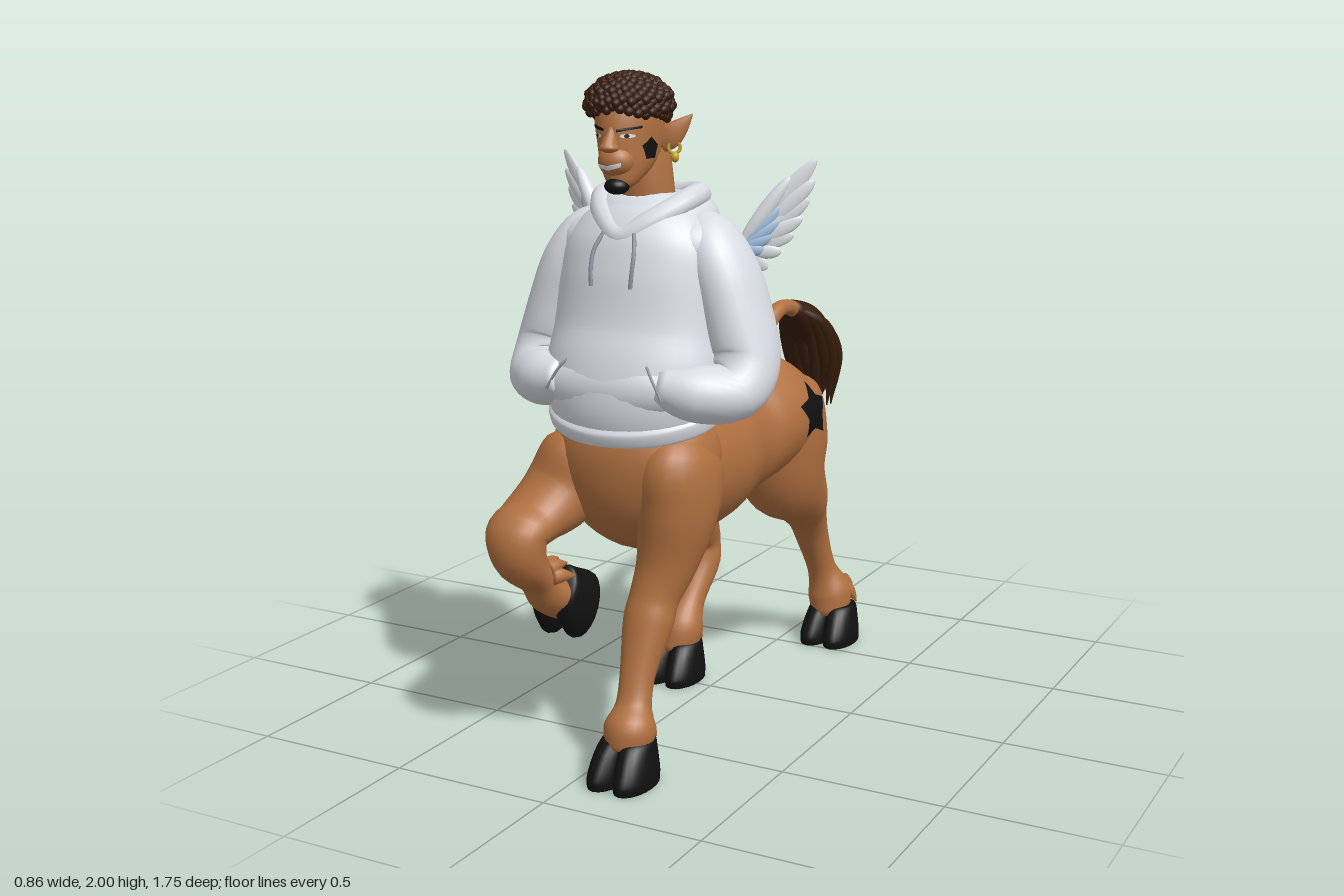
import * as THREE from 'three';

const mat = (name, color, side = THREE.FrontSide) => {
  const m = new THREE.MeshStandardMaterial({ color, side });
  m.name = name;
  return m;
};
const V = (x, y, z) => new THREE.Vector3(x, y, z);
const X = V(1, 0, 0), Y = V(0, 1, 0);

// Smooth skin over elliptical sections [x, y, z, ra, rb]; axis fixes the section plane
function loft(secs, { ref = X, axis = null, n = 28, steps = 5 } = {}) {
  const path = new THREE.CatmullRomCurve3(secs.map(s => V(s[0], s[1], s[2])));
  const radii = new THREE.CatmullRomCurve3(secs.map(s => V(s[3], s[4] ?? s[3], 0)), false, 'catmullrom', 0.5);
  const rows = (secs.length - 1) * steps, pos = [], idx = [];
  for (let i = 0; i <= rows; i++) {
    const c = path.getPoint(i / rows), r = radii.getPoint(i / rows);
    const t = axis ?? path.getTangent(i / rows);
    const u = ref.clone().addScaledVector(t, -ref.dot(t)).normalize();
    const v = t.clone().cross(u);
    for (let j = 0; j < n; j++) {
      const a = j / n * Math.PI * 2;
      const p = c.clone().addScaledVector(u, Math.cos(a) * Math.max(r.x, 0.001))
        .addScaledVector(v, Math.sin(a) * Math.max(r.y, 0.001));
      pos.push(p.x, p.y, p.z);
      const k = (j + 1) % n, b = i * n;
      if (i < rows) idx.push(b + j, b + k, b + n + k, b + j, b + n + k, b + n + j);
    }
  }
  const c0 = pos.length / 3, a = secs[0], b = secs[secs.length - 1];
  pos.push(a[0], a[1], a[2], b[0], b[1], b[2]);
  for (let j = 0; j < n; j++) {
    const k = (j + 1) % n, e = rows * n;
    idx.push(c0, k, j, c0 + 1, e + j, e + k);
  }
  const g = new THREE.BufferGeometry();
  g.setAttribute('position', new THREE.Float32BufferAttribute(pos, 3));
  g.setIndex(idx);
  g.computeVertexNormals();
  return g;
}

// Thin painted patch laid on target meshes, seen along a horizontal direction
function decal(pts, origin, dir, targets, lift = 0.004) {
  const d = dir.clone().normalize(), right = d.clone().cross(Y), ray = new THREE.Raycaster();
  const outline = [], pos = [], idx = [], rings = 5;
  pts.forEach((p, i) => {
    const q = pts[(i + 1) % pts.length];
    for (let k = 0; k < 3; k++) outline.push([p[0] + (q[0] - p[0]) * k / 3, p[1] + (q[1] - p[1]) * k / 3]);
  });
  let depth = 1;
  const put = (a, b) => {
    const o = origin.clone().addScaledVector(right, a).addScaledVector(Y, b).addScaledVector(d, -1);
    ray.set(o, d);
    const hit = ray.intersectObjects(targets, false)[0];
    if (hit) depth = hit.distance;
    o.addScaledVector(d, depth - lift);
    pos.push(o.x, o.y, o.z);
  };
  const n = outline.length;
  put(0, 0);
  for (let r = 1; r <= rings; r++) outline.forEach(p => put(p[0] * r / rings, p[1] * r / rings));
  for (let j = 0; j < n; j++) {
    const k = (j + 1) % n;
    idx.push(0, 1 + j, 1 + k);
    for (let r = 0; r < rings - 1; r++) {
      const b = 1 + r * n, c = b + n;
      idx.push(b + j, c + j, c + k, b + j, c + k, b + k);
    }
  }
  const g = new THREE.BufferGeometry();
  g.setAttribute('position', new THREE.Float32BufferAttribute(pos, 3));
  g.setIndex(idx);
  g.computeVertexNormals();
  return g;
}

const oval = (a, b, n = 10) => Array.from({ length: n }, (_, i) =>
  [a * Math.cos(i / n * 2 * Math.PI), b * Math.sin(i / n * 2 * Math.PI)]);
const star = (r, k, n = 5) => Array.from({ length: 2 * n }, (_, i) => {
  const a = Math.PI / 2 + i * Math.PI / n, q = i % 2 ? r * k : r;
  return [q * Math.cos(a), q * Math.sin(a)];
});

export function createModel() {
  const model = new THREE.Group();
  const skin = mat('brown coat', 0xb07040), hair = mat('dark brown hair', 0x371d0c);
  const black = mat('black', 0x111111, THREE.DoubleSide), cloth = mat('pale hoodie', 0xd9dce3);
  const white = mat('white', 0xe2e5ea, THREE.DoubleSide), blue = mat('light blue', 0xa9c9e8);
  const gold = mat('gold', 0xc9a227), grey = mat('grey cord', 0x8d919b);
  const add = (name, geo, m, parent = model) => {
    const mesh = new THREE.Mesh(geo, m);
    mesh.name = name;
    parent.add(mesh);
    return mesh;
  };
  const ball = (name, p, s, m, parent = model) =>
    add(name, new THREE.SphereGeometry(1, 24, 16).scale(...s).translate(...p), m, parent);
  const tube = (name, pts, r, m, closed = false) => add(name, new THREE.TubeGeometry(
    new THREE.CatmullRomCurve3(pts.map(p => V(...p)), closed), 48, r, 10, closed), m);

  // Horse body and chest
  const body = add('horseBody', loft([
    [0, 0.85, 0.62, 0.06, 0.06], [0, 0.85, 0.58, 0.19, 0.18], [0, 0.84, 0.48, 0.25, 0.24],
    [0, 0.845, 0.34, 0.262, 0.25], [0, 0.84, 0.2, 0.265, 0.24], [0, 0.848, 0.04, 0.235, 0.222],
    [0, 0.87, -0.05, 0.262, 0.218], [0, 0.89, -0.17, 0.275, 0.22], [0, 0.885, -0.29, 0.255, 0.185],
    [0, 0.88, -0.37, 0.19, 0.13], [0, 0.88, -0.405, 0.07, 0.06]], { axis: V(0, 0, -1), n: 40 }), skin);
  add('chest', loft([[0, 0.62, 0.48, 0.06, 0.05], [0, 0.73, 0.48, 0.19, 0.155], [0, 0.86, 0.47, 0.262, 0.2],
    [0, 0.96, 0.455, 0.25, 0.195], [0, 1.02, 0.44, 0.2, 0.15]], { n: 36 }), skin);

  // Legs
  add('frontLeftLeg', loft([[0.15, 1.0, 0.46, 0.03], [0.16, 0.9, 0.49, 0.11, 0.15], [0.165, 0.76, 0.51, 0.115, 0.14],
    [0.145, 0.6, 0.545, 0.09, 0.095], [0.125, 0.5, 0.585, 0.074, 0.072], [0.12, 0.43, 0.615, 0.075, 0.068],
    [0.12, 0.3, 0.675, 0.054, 0.048], [0.125, 0.21, 0.71, 0.054, 0.048], [0.13, 0.15, 0.74, 0.077, 0.075],
    [0.13, 0.09, 0.76, 0.06, 0.06]]), skin);
  add('raisedFrontRightLeg', loft([[-0.15, 0.99, 0.45, 0.03], [-0.16, 0.88, 0.5, 0.11, 0.14], [-0.2, 0.77, 0.58, 0.115, 0.115],
    [-0.23, 0.71, 0.69, 0.105, 0.075], [-0.235, 0.68, 0.755, 0.098, 0.072], [-0.225, 0.61, 0.755, 0.085, 0.07],
    [-0.205, 0.53, 0.69, 0.07, 0.048], [-0.19, 0.475, 0.645, 0.082, 0.06], [-0.18, 0.44, 0.6, 0.06, 0.055]]), skin);
  const thigh = add('hindLeftLeg', loft([[0.1, 1.04, -0.21, 0.03], [0.11, 0.95, -0.22, 0.145, 0.175], [0.11, 0.8, -0.25, 0.165, 0.19],
    [0.125, 0.68, -0.275, 0.14, 0.165], [0.135, 0.57, -0.38, 0.1, 0.1], [0.125, 0.49, -0.465, 0.068, 0.078],
    [0.115, 0.4, -0.53, 0.056, 0.062], [0.125, 0.26, -0.595, 0.05, 0.048], [0.145, 0.17, -0.62, 0.075, 0.072],
    [0.155, 0.09, -0.61, 0.065, 0.065]]), skin);
  ball('hockPoint', [0.122, 0.505, -0.495], [0.04, 0.05, 0.035], skin);
  add('hindRightLeg', loft([[-0.1, 1.02, -0.19, 0.03], [-0.11, 0.93, -0.2, 0.145, 0.17], [-0.11, 0.8, -0.19, 0.16, 0.19],
    [-0.13, 0.66, -0.12, 0.13, 0.14], [-0.135, 0.54, -0.12, 0.095, 0.1], [-0.13, 0.43, -0.185, 0.063, 0.065],
    [-0.125, 0.37, -0.18, 0.06, 0.058], [-0.13, 0.25, -0.1, 0.05, 0.048], [-0.14, 0.17, -0.055, 0.075, 0.072],
    [-0.145, 0.09, -0.035, 0.065, 0.065]]), skin);

  // Cloven hooves with fetlock fur
  [['frontLeft', 0.128, 0, 0.775, 0], ['raisedFrontRight', -0.18, 0.425, 0.555, 1.1],
    ['hindLeft', 0.16, 0, -0.595, 0], ['hindRight', -0.145, 0, -0.015, 0]].forEach(([name, x, y, z, tilt]) => {
    const hoof = new THREE.Group();
    hoof.name = name + 'Hoof';
    hoof.position.set(x, y, z);
    hoof.rotation.x = tilt;
    model.add(hoof);
    for (const s of [-1, 1]) add('toe', loft([[s * 0.043, 0, 0, 0.052, 0.1], [s * 0.043, 0.03, 0, 0.052, 0.102],
      [s * 0.038, 0.09, -0.015, 0.048, 0.083], [s * 0.032, 0.125, -0.03, 0.042, 0.065],
      [s * 0.03, 0.135, -0.03, 0.015, 0.03]], { axis: Y, n: 20 }), black, hoof);
    for (let i = 0; i < 5; i++) {
      const a = Math.PI * (1.15 + 0.7 * i / 4), c = Math.cos(a), d = Math.sin(a), h = 0.165 + 0.015 * (i % 2);
      add('fetlockFur', loft([[c * 0.03, h + 0.02, d * 0.04 - 0.03, 0.03], [c * 0.058, h, d * 0.062 - 0.03, 0.02],
        [c * 0.08, h - 0.035, d * 0.082 - 0.03, 0.002]], { n: 8, steps: 3 }), skin, hoof);
    }
  });

  // Tail and tuft
  add('tail', loft([[-0.01, 1.02, -0.28, 0.05], [-0.01, 1.07, -0.34, 0.04], [-0.01, 1.13, -0.42, 0.03],
    [-0.005, 1.175, -0.5, 0.027], [0, 1.175, -0.57, 0.026], [0, 1.145, -0.64, 0.03]]), skin);
  add('tailTuft', loft([[0, 1.175, -0.59, 0.025], [0, 1.11, -0.69, 0.075, 0.06], [0, 0.99, -0.775, 0.08, 0.065],
    [0, 0.87, -0.795, 0.045], [0, 0.77, -0.78, 0.004]]), hair);
  for (let i = 0; i < 16; i++) {
    const a = i / 16 * Math.PI * 2, c = Math.cos(a), s = Math.sin(a), drop = 0.1 * (i * 7 % 5) / 4;
    add('tuftLock', loft([[c * 0.015, 1.165, -0.6 + s * 0.015, 0.012], [c * 0.07, 1.1 - s * 0.03, -0.7 - s * 0.05, 0.024],
      [c * 0.083, 0.97, -0.78 - s * 0.06, 0.026], [c * 0.065, 0.8 + drop, -0.79 - s * 0.06, 0.002]], { n: 8, steps: 4 }), hair);
  }

  // Hoodie torso, hem, pocket and sleeves
  add('hoodieHem', loft([[0, 1.0, 0.455, 0.255, 0.2], [0, 1.01, 0.458, 0.27, 0.213], [0, 1.045, 0.468, 0.273, 0.215],
    [0, 1.06, 0.472, 0.26, 0.2]], { axis: V(0, 0.958, 0.287), n: 40 }), cloth);
  add('hoodieTorso', loft([[0, 1.025, 0.452, 0.262, 0.203], [0, 1.06, 0.465, 0.272, 0.21], [0, 1.13, 0.468, 0.283, 0.2],
    [0, 1.25, 0.44, 0.272, 0.185], [0, 1.4, 0.41, 0.265, 0.19], [0, 1.5, 0.4, 0.25, 0.175], [0, 1.58, 0.388, 0.195, 0.14],
    [0, 1.63, 0.38, 0.12, 0.1]], { n: 40 }), cloth);
  ball('pouchPocket', [0, 1.11, 0.595], [0.23, 0.095, 0.078], cloth);
  for (const s of [-1, 1]) {
    add('sleeve', loft([[s * 0.12, 1.59, 0.375, 0.03], [s * 0.18, 1.53, 0.378, 0.085, 0.095], [s * 0.245, 1.44, 0.385, 0.095, 0.12],
      [s * 0.295, 1.3, 0.39, 0.1, 0.122], [s * 0.328, 1.18, 0.41, 0.1, 0.11], [s * 0.315, 1.11, 0.48, 0.1, 0.088],
      [s * 0.24, 1.11, 0.565, 0.085, 0.08], [s * 0.15, 1.13, 0.61, 0.05]]), cloth);
    tube('pocketSeam', [[s * 0.12, 1.2, 0.622], [s * 0.15, 1.165, 0.645], [s * 0.19, 1.1, 0.655]], 0.004, grey);
    tube('drawstring', [[s * 0.05, 1.55, 0.555], [s * 0.066, 1.5, 0.585], [s * 0.067, 1.44, 0.602], [s * 0.064, 1.4, 0.605]], 0.006, grey);
    // Shoulder slope under the hood
    ball('shoulder', [s * 0.15, 1.5, 0.38], [0.13, 0.1, 0.13], cloth);
  }

  // Lowered hood around the neck
  tube('hoodRim', [[0, 1.535, 0.535], [0.075, 1.58, 0.5], [0.14, 1.635, 0.4], [0.12, 1.645, 0.3], [0, 1.635, 0.25],
    [-0.12, 1.645, 0.3], [-0.14, 1.635, 0.4], [-0.075, 1.58, 0.5]], 0.036, cloth, true);
  add('hoodDrape', loft([[0, 1.46, 0.29, 0.07, 0.06], [0, 1.5, 0.31, 0.15, 0.13], [0, 1.56, 0.345, 0.193, 0.17],
    [0, 1.61, 0.35, 0.185, 0.165], [0, 1.655, 0.345, 0.13, 0.11], [0, 1.65, 0.345, 0.05, 0.04]], { axis: Y, n: 36 }), cloth);
  ball('hoodPoint', [0, 1.57, 0.21], [0.09, 0.075, 0.05], cloth);

  // Neck and head
  add('neck', loft([[0, 1.55, 0.38, 0.09, 0.085], [0, 1.65, 0.395, 0.083, 0.082], [-0.01, 1.75, 0.4, 0.08, 0.088],
    [-0.02, 1.83, 0.41, 0.07, 0.08]]), skin);
  const face = [add('head', loft([[-0.005, 1.665, 0.54, 0.015, 0.015], [-0.005, 1.69, 0.525, 0.045, 0.045],
    [-0.01, 1.74, 0.485, 0.073, 0.09], [-0.015, 1.8, 0.455, 0.085, 0.125], [-0.02, 1.87, 0.445, 0.093, 0.13],
    [-0.02, 1.93, 0.44, 0.08, 0.11], [-0.02, 1.96, 0.44, 0.03, 0.04]], { axis: Y }), skin)];
  face.push(ball('muzzle', [-0.01, 1.752, 0.543], [0.055, 0.048, 0.054], skin));
  face.push(add('nose', loft([[-0.012, 1.775, 0.575, 0.012, 0.012], [-0.012, 1.787, 0.583, 0.028, 0.03],
    [-0.012, 1.802, 0.58, 0.022, 0.03], [-0.012, 1.84, 0.56, 0.014, 0.022], [-0.012, 1.865, 0.55, 0.02, 0.02]], { axis: Y, n: 16 }), skin));
  ball('goatee', [-0.005, 1.682, 0.555], [0.036, 0.024, 0.036], black);
  const ahead = V(0, 0, -1), plate = (name, pts, x, y, m, lift) => add(name, decal(pts, V(x, y, 0.5), ahead, face, lift), m);
  for (const s of [-1, 1]) {
    const x = -0.012 + s * 0.045;
    plate('eyeWhite', oval(0.017, 0.006), x, 1.823, white);
    plate('pupil', oval(0.006, 0.006), x, 1.823, black, 0.006);
    plate('eyebrow', [[-0.026, -s * 0.007], [0.026, s * 0.004], [0.026, s * 0.004 + 0.008], [-0.026, 0.008 - s * 0.007]], x, 1.84, black);
    // Pointed ears
    const e = -0.02 + s * 0.078;
    add('ear', loft([[e, 1.795, 0.42, 0.03, 0.012], [e + s * 0.03, 1.818, 0.41, 0.036, 0.014],
      [e + s * 0.06, 1.848, 0.395, 0.022, 0.01], [e + s * 0.085, 1.878, 0.38, 0.002]], { ref: Y, n: 14 }), skin);
  }
  plate('teeth', [[-0.036, -0.004], [0, -0.013], [0.036, -0.002], [0.038, 0.01], [0, 0.001], [-0.036, 0.006]], -0.01, 1.74, white);
  add('cheekPatch', decal(star(0.034, 0.78), V(0, 1.785, 0.49), V(-1, 0, 0), face), black);
  const ring = add('earring', new THREE.TorusGeometry(0.017, 0.005, 8, 20), gold);
  ring.position.set(0.1, 1.785, 0.41);
  ring.rotation.y = 0.6;
  ball('earringBead', [0.102, 1.757, 0.41], [0.012, 0.015, 0.012], gold);

  // Curly hair
  ball('hairCap', [-0.027, 1.905, 0.442], [0.11, 0.08, 0.128], hair);
  for (let i = 0; i < 260; i++) {
    const h = 1 - i / 260 * 1.5, r = Math.sqrt(1 - h * h), a = i * 2.39996, w = 0.003 * (i * 5 % 4);
    const p = V(-0.028 + (0.108 + w) * r * Math.cos(a), 1.905 + 0.082 * h, 0.442 + (0.126 + w) * r * Math.sin(a));
    if (p.y < 1.845 + Math.max(0, p.z - 0.34) * 0.2) continue;
    add('curl', new THREE.IcosahedronGeometry(0.015, 1), hair).position.copy(p);
  }

  // Small feathered wings: [tip x, tip y, start fraction, width]
  const feathers = [[0.225, 0.26, 0.25, 0.026], [0.22, 0.2, 0.25, 0.027], [0.205, 0.145, 0.2, 0.027], [0.185, 0.09, 0.15, 0.027],
    [0.16, 0.04, 0.1, 0.026], [0.125, -0.01, 0.1, 0.025], [0.085, -0.06, 0, 0.025], [0.04, -0.1, 0, 0.023]];
  for (const s of [-1, 1]) {
    const wing = new THREE.Group();
    wing.name = s > 0 ? 'leftWing' : 'rightWing';
    wing.position.set(s * 0.225, 1.485, 0.25);
    wing.rotation.y = s * 0.42;
    model.add(wing);
    const quill = (name, x, y, from, w, thick, m) => {
      const len = Math.hypot(x, y), f = ball(name, [0, 0, 0], [len * (1 - from) / 2, w, thick], m, wing);
      f.position.set(s * x * (1 + from) / 2, y * (1 + from) / 2, 0);
      f.rotation.z = s * Math.atan2(y, x);
    };
    feathers.forEach(([x, y, from, w], i) => {
      quill('longFeather', x, y, from, w, 0.009 + 0.003 * (i % 2), white);
      quill('coverFeather', x * 0.72, y * 0.72 + 0.01, 0, w * 0.9, 0.014, white);
    });
    // Blue down shows on both faces, below the leading edge
    [[0.13, 0.135], [0.125, 0.09], [0.105, 0.045], [0.08, 0], [0.05, -0.045]].forEach(([x, y]) =>
      quill('blueDown', x, y, 0, 0.026, 0.021, blue));
    quill('wingArm', 0.15, 0.21, 0, 0.024, 0.024, white);
  }

  // Coat markings
  add('starMarking', decal(star(0.095, 0.6), V(0, 0.913, -0.2), V(-1, 0, 0), [body, thigh]), black);
  add('rumpMarking', decal(star(0.056, 0.72), V(0.15, 0.935, -0.38), V(-0.35, 0, 1), [body, thigh]), black);
  return model;
}
